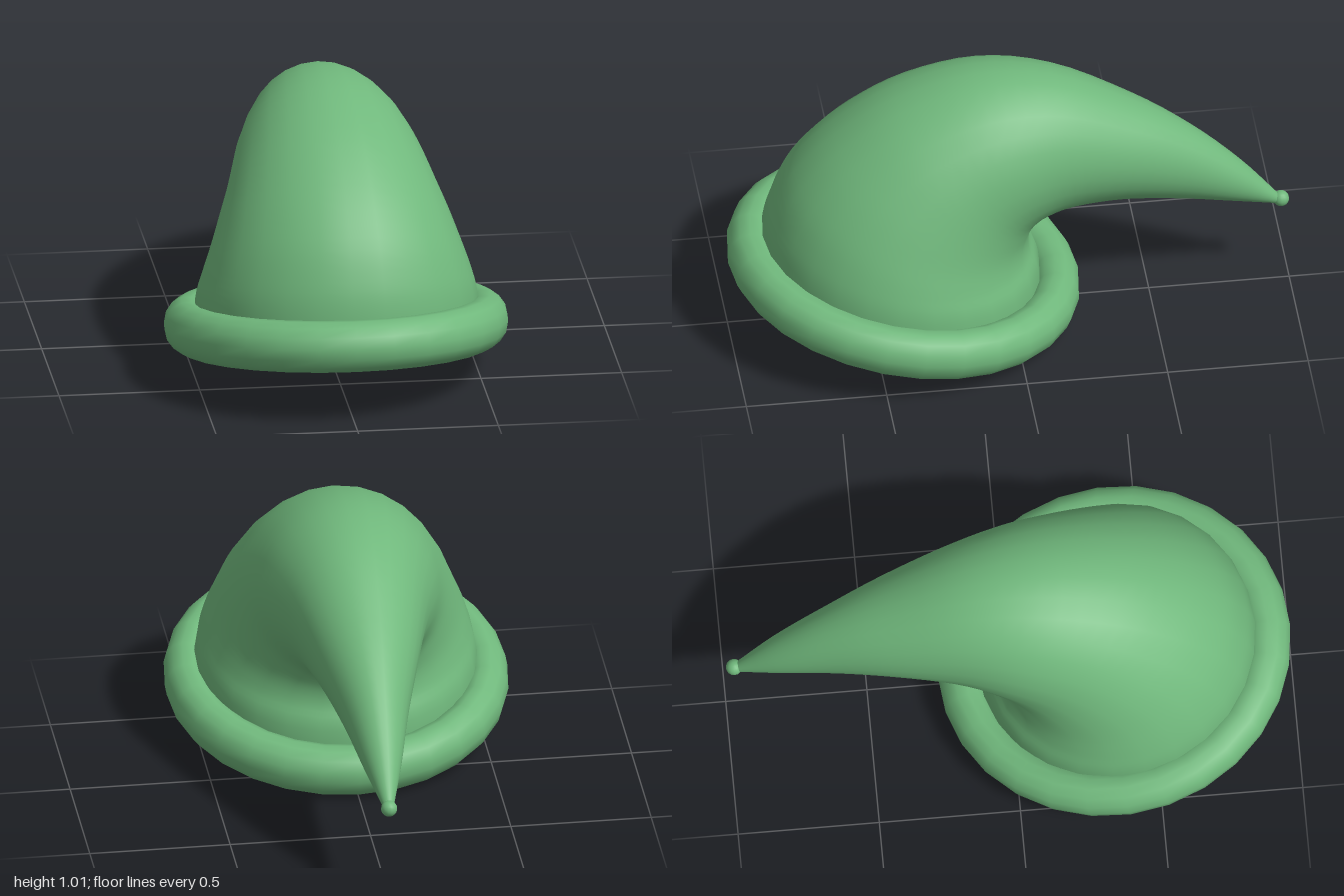
import * as THREE from 'three';

const TILT = -0.18; // brim raised at the front

// Cross-sections from base to tip: outer z, y, inner z, y, half width
const SECTIONS = [
  [0.885, 0.22, -0.115, 0.04, 0.505],
  [0.873, 0.38, -0.105, 0.21, 0.498],
  [0.84, 0.50, -0.075, 0.29, 0.473],
  [0.765, 0.64, -0.07, 0.34, 0.438],
  [0.62, 0.79, -0.08, 0.38, 0.398],
  [0.40, 0.93, -0.10, 0.41, 0.352],
  [0.12, 1.008, -0.15, 0.433, 0.303],
  [-0.16, 0.978, -0.23, 0.443, 0.245],
  [-0.45, 0.832, -0.39, 0.443, 0.18],
  [-0.66, 0.685, -0.60, 0.41, 0.117],
  [-0.83, 0.525, -0.79, 0.37, 0.068],
  [-0.965, 0.365, -0.955, 0.333, 0.018],
];

// Bent cone lofted through elliptical rings
function coneGeometry(rings = 44, sides = 26) {
  const curve = (f) => new THREE.CatmullRomCurve3(SECTIONS.map(f), false, 'catmullrom', 0.5);
  const outer = curve((s) => new THREE.Vector3(s[4], s[1], s[0]));
  const inner = curve((s) => new THREE.Vector3(s[4], s[3], s[2]));
  const positions = [];
  const index = [];
  for (let i = 0; i <= rings; i++) {
    const o = outer.getPoint(i / rings);
    const n = inner.getPoint(i / rings);
    for (let j = 0; j < sides; j++) {
      const a = (j / sides) * Math.PI * 2;
      const k = (1 + Math.cos(a)) / 2;
      positions.push(Math.sin(a) * o.x, n.y + (o.y - n.y) * k, n.z + (o.z - n.z) * k);
      if (i < rings) {
        const p = i * sides + j;
        const q = i * sides + ((j + 1) % sides);
        index.push(p, q, p + sides, q, q + sides, p + sides);
      }
    }
  }
  const g = new THREE.BufferGeometry();
  g.setAttribute('position', new THREE.Float32BufferAttribute(positions, 3));
  g.setIndex(index);
  g.computeVertexNormals();
  return g;
}

export function createModel() {
  const green = new THREE.MeshStandardMaterial({ color: 0x70b87c });
  green.name = 'feltGreen';

  const model = new THREE.Group();
  model.name = 'pointedHat';
  const add = (parent, name, geometry) => {
    const mesh = new THREE.Mesh(geometry, green);
    mesh.name = name;
    parent.add(mesh);
    return mesh;
  };

  add(model, 'bentCone', coneGeometry());

  // Rolled brim with the flat underside of the cone set inside it
  const base = new THREE.Group();
  base.name = 'base';
  base.position.set(0, 0.191, 0.375);
  base.rotation.x = TILT;
  model.add(base);
  const brim = add(base, 'rolledBrim', new THREE.TorusGeometry(0.529, 0.081, 14, 28).rotateX(Math.PI / 2));
  brim.scale.set(1, 1.135, 1.04);
  const underside = add(base, 'underside', new THREE.CircleGeometry(0.5, 28).rotateX(Math.PI / 2));
  underside.position.y = -0.045;

  // Small bobble on the tip
  const bobble = add(model, 'tipBobble', new THREE.SphereGeometry(0.029, 14, 10));
  bobble.position.set(0, 0.349, -0.971);

  return model;
}
